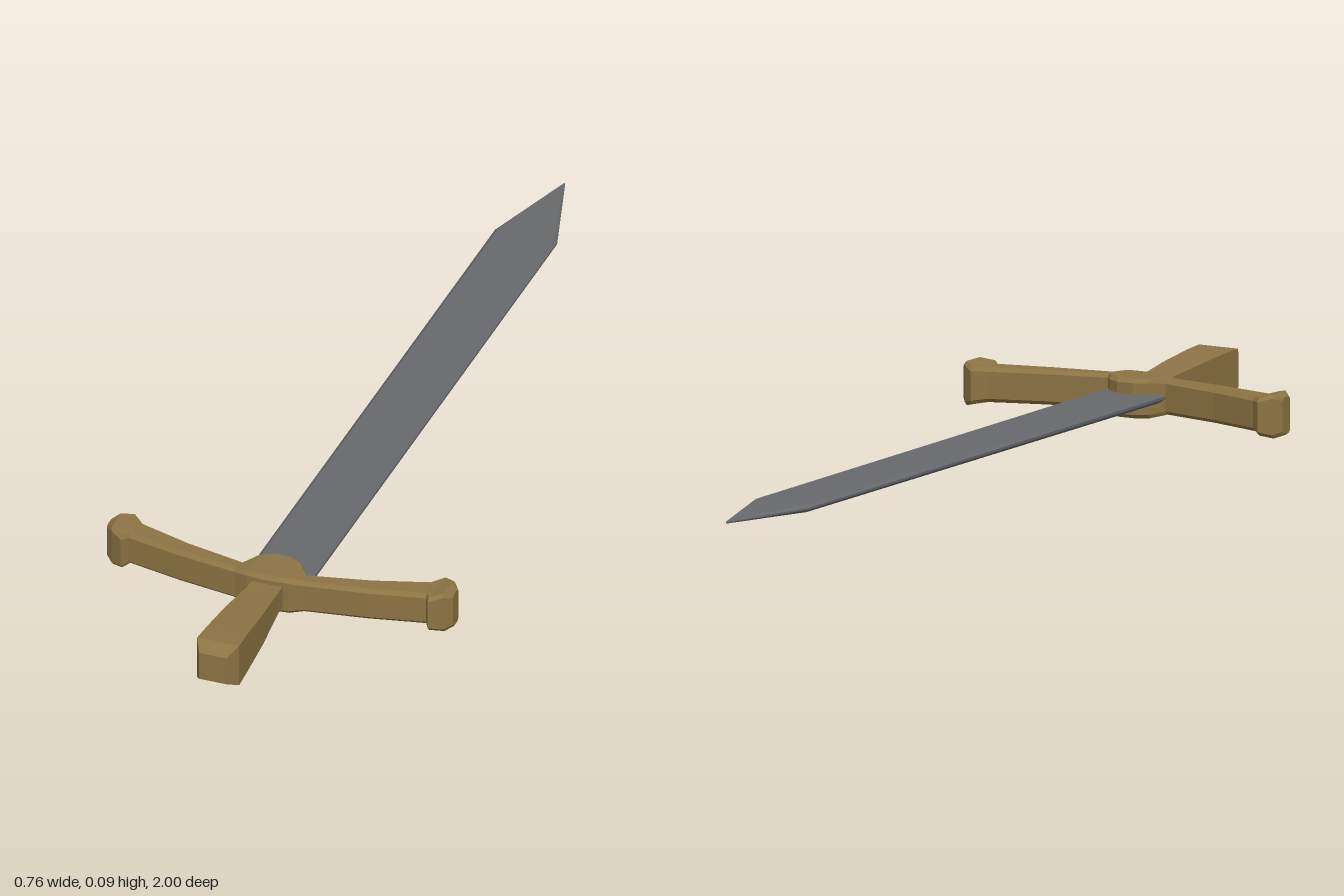
import * as THREE from 'three';

const MID = 0.05; // height of the sword's mid-plane

// Rectangle section with cut corners, counter-clockwise in (p, q)
function section(p, q, cp = 0, cq = cp) {
  if (!cp) return [[p, -q], [p, q], [-p, q], [-p, -q]];
  return [[p, -q + cq], [p, q - cq], [p - cp, q], [-p + cp, q],
    [-p, q - cq], [-p, -q + cq], [-p + cp, -q], [p - cp, -q]];
}

// Skin a list of rings and close both ends
function loft(rings) {
  const pos = [];
  const n = rings[0].length;
  const tri = (a, b, c) => pos.push(...a, ...b, ...c);
  for (let i = 0; i < rings.length - 1; i++) {
    for (let j = 0; j < n; j++) {
      const k = (j + 1) % n;
      const [a, b, c, d] = [rings[i][j], rings[i][k], rings[i + 1][k], rings[i + 1][j]];
      tri(a, b, c);
      tri(a, c, d);
    }
  }
  const first = rings[0], last = rings[rings.length - 1];
  for (let j = 1; j < n - 1; j++) {
    tri(first[0], first[j + 1], first[j]);
    tri(last[0], last[j], last[j + 1]);
  }
  const geo = new THREE.BufferGeometry();
  geo.setAttribute('position', new THREE.Float32BufferAttribute(pos, 3));
  geo.computeVertexNormals();
  return geo;
}

// Ring across the z axis: half width, half height, corner cut
const zRing = (z, w, h, cp, cq) =>
  section(w, h, cp, cq).map(([x, y]) => [x, MID + y, z]);

// Guard ring between a back point and a front point in plan
function guardRing([xb, zb, xf, zf, h]) {
  const half = Math.abs(zf - zb) / 2;
  const c = Math.min(0.008, half * 0.4);
  return section(h, half, c).map(([y, u]) => {
    const t = (u / half + 1) / 2;
    return [xb + (xf - xb) * t, MID + y, zb + (zf - zb) * t];
  });
}

export function createModel() {
  const group = new THREE.Group();
  group.name = 'sword';
  const brass = new THREE.MeshStandardMaterial({ color: 0x8c7444, flatShading: true });
  const steel = new THREE.MeshStandardMaterial({ color: 0x68696c, flatShading: true });
  const add = (name, rings, material) => {
    const mesh = new THREE.Mesh(loft(rings), material);
    mesh.name = name;
    group.add(mesh);
  };

  // Flat blade with ground edges and a pointed tip
  add('blade', [
    zRing(-1, 0.001, 0.002, 0.0005, 0.001),
    zRing(-0.78, 0.068, 0.008, 0.008, 0.006),
    zRing(0.66, 0.068, 0.01, 0.008, 0.007),
  ], steel);

  // Curved crossguard: centre boss, arm, flared end knob, mirrored in x
  const side = [
    [0.018, 0.595, 0.02, 0.692, 0.041],
    [0.045, 0.61, 0.045, 0.69, 0.041],
    [0.068, 0.643, 0.075, 0.68, 0.036],
    [0.2, 0.613, 0.205, 0.66, 0.036],
    [0.315, 0.576, 0.325, 0.634, 0.036],
    [0.34, 0.552, 0.335, 0.652, 0.039],
    [0.364, 0.57, 0.362, 0.635, 0.046],
    [0.378, 0.588, 0.378, 0.619, 0.038],
  ];
  const mirrored = side.map(([xb, zb, xf, zf, h]) => [-xb, zb, -xf, zf, h]).reverse();
  add('crossguard', [...mirrored, ...side].map(guardRing), brass);

  // Square grip widening to a bevelled pommel
  add('grip', [
    zRing(0.66, 0.032, 0.022),
    zRing(0.72, 0.034, 0.025),
    zRing(0.82, 0.041, 0.036),
    zRing(0.92, 0.044, 0.045),
    zRing(0.97, 0.046, 0.047),
    zRing(1, 0.03, 0.031),
  ], brass);

  return group;
}
